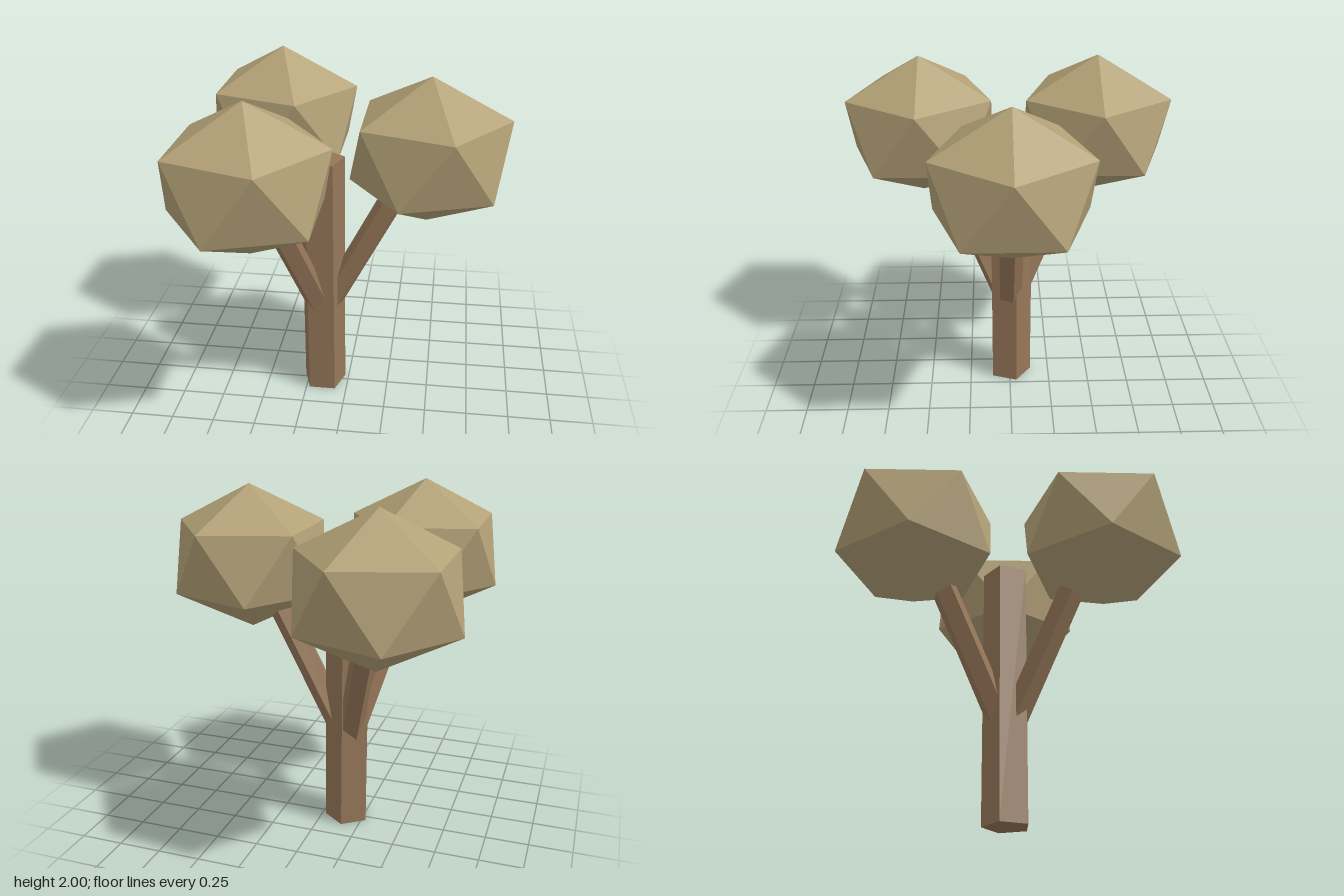
import * as THREE from 'three';
import { ConvexGeometry } from 'three/addons/geometries/ConvexGeometry.js';

export function createModel() {
  const bark = new THREE.MeshStandardMaterial({ color: 0x967759, flatShading: true });
  bark.name = 'bark brown';
  const leaves = new THREE.MeshStandardMaterial({ color: 0xb3a177, flatShading: true });
  leaves.name = 'dry foliage';

  const tree = new THREE.Group();
  tree.name = 'tree';
  const trunkX = -0.15;

  const add = (parent, name, geometry, material) => {
    const mesh = new THREE.Mesh(geometry, material);
    mesh.name = name;
    parent.add(mesh);
    return mesh;
  };

  // Five-sided trunk with a corner facing backwards
  const trunk = add(tree, 'trunk', new THREE.CylinderGeometry(0.134, 0.134, 1.51, 5), bark);
  trunk.rotation.y = Math.PI;
  trunk.position.set(trunkX, 0.755, 0);

  // Leaning five-sided branch, starting inside the trunk
  const length = 0.97;
  const branchGeometry = new THREE.CylinderGeometry(0.075, 0.075, length, 5)
    .rotateY(Math.PI)
    .translate(0, length / 2, 0)
    .rotateZ(-0.478)
    .translate(0, 0.5, 0);

  // Flattened-top crown: two staggered rings of five points and two poles
  const points = [new THREE.Vector3(0, 0.418, 0), new THREE.Vector3(0, -0.418, 0)];
  for (let i = 0; i < 10; i++) {
    const a = (i * Math.PI) / 5;
    points.push(new THREE.Vector3(0.441 * Math.cos(a), i % 2 ? -0.19 : 0.19, 0.441 * Math.sin(a)));
  }
  const crownGeometry = new ConvexGeometry(points);

  // Three branches spread evenly, each carrying a crown of the same orientation
  ['left', 'backRight', 'frontRight'].forEach((side, i) => {
    const turn = (i * Math.PI * 2) / 3;
    const branch = add(tree, side + 'Branch', branchGeometry, bark);
    branch.rotation.y = turn;
    branch.position.x = trunkX;
    const crown = add(tree, side + 'Crown', crownGeometry, leaves);
    crown.position.set(trunkX + 0.6 * Math.cos(turn), 1.582, -0.6 * Math.sin(turn));
  });

  return tree;
}
